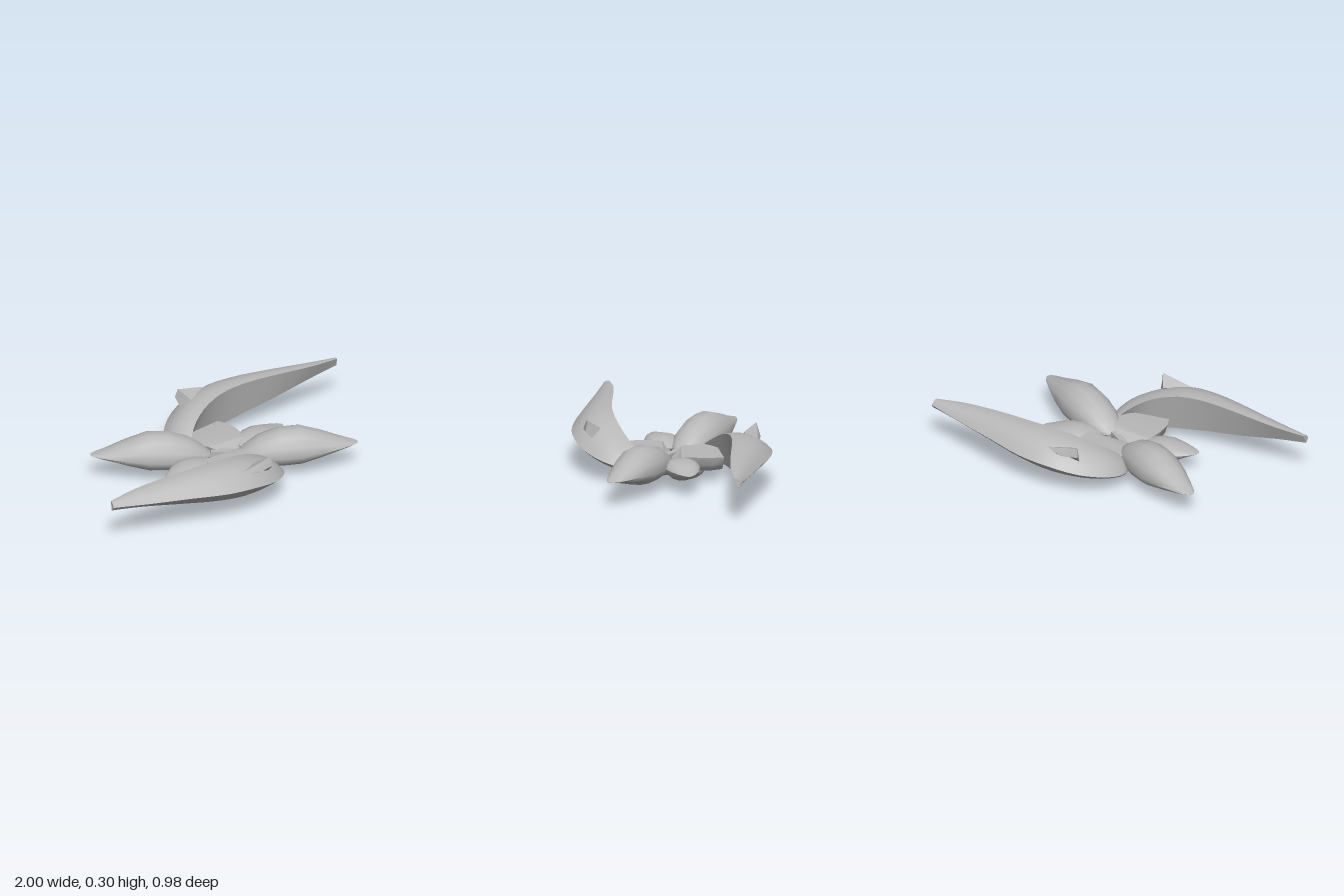
import * as THREE from 'three';
import { toCreasedNormals } from 'three/addons/utils/BufferGeometryUtils.js';

const grey = new THREE.MeshStandardMaterial({ color: 0xb8b8b8 });
grey.name = 'plain grey';
const V = (x, y, z) => new THREE.Vector3(x, y, z);

function mesh(name, geometry) {
  const m = new THREE.Mesh(geometry, grey);
  m.name = name;
  return m;
}

// Skin a closed surface over rings of equal point count
function loft(rings, crease = 0.6) {
  const n = rings[0].length, pos = [];
  const tri = (...pts) => pts.forEach(p => pos.push(p.x, p.y, p.z));
  for (let i = 0; i < rings.length - 1; i++) {
    for (let j = 0; j < n; j++) {
      const k = (j + 1) % n, a = rings[i], b = rings[i + 1];
      tri(a[j], a[k], b[j]);
      tri(a[k], b[k], b[j]);
    }
  }
  for (const end of [0, rings.length - 1]) {
    const r = rings[end];
    const c = r.reduce((s, p) => s.add(p), V(0, 0, 0)).divideScalar(n);
    for (let j = 0; j < n; j++) {
      const k = (j + 1) % n;
      if (end === 0) tri(c, r[k], r[j]); else tri(c, r[j], r[k]);
    }
  }
  const g = new THREE.BufferGeometry();
  g.setAttribute('position', new THREE.Float32BufferAttribute(pos, 3));
  return toCreasedNormals(g, crease);
}

// Long curved blade: each station gives its inner edge, outer edge and keel
function arm() {
  const stations = [
    [V(-0.985, 0.258, 0.125), V(-1.0, 0.235, 0.16), V(-0.995, 0.21, 0.14)],
    [V(-0.82, 0.273, 0.14), V(-0.82, 0.222, 0.25), V(-0.82, 0.18, 0.175)],
    [V(-0.6, 0.288, 0.19), V(-0.6, 0.212, 0.36), V(-0.6, 0.13, 0.225)],
    [V(-0.4, 0.293, 0.24), V(-0.42, 0.2, 0.445), V(-0.4, 0.09, 0.275)],
    [V(-0.24, 0.282, 0.26), V(-0.25, 0.19, 0.488), V(-0.22, 0.06, 0.3)],
    [V(-0.1, 0.245, 0.25), V(-0.08, 0.155, 0.468), V(-0.06, 0.055, 0.285)],
    [V(0.0, 0.195, 0.22), V(0.06, 0.122, 0.39), V(0.04, 0.057, 0.26)],
    [V(0.07, 0.14, 0.18), V(0.12, 0.1, 0.3), V(0.1, 0.06, 0.22)],
    [V(0.1, 0.1, 0.16), V(0.12, 0.09, 0.21), V(0.11, 0.07, 0.18)],
  ];
  const edges = [0, 1, 2].map(e =>
    new THREE.CatmullRomCurve3(stations.map(s => s[e])).getPoints(24));
  const rings = edges[0].map((inner, i) => {
    const outer = edges[1][i], keel = edges[2][i];
    const top = inner.clone().lerp(outer, 0.6);
    top.y = inner.y + (inner.y - outer.y) * 0.25;
    const low = outer.clone().lerp(keel, 0.4);
    low.y = keel.y + (outer.y - keel.y) * 0.25;
    return [
      ...new THREE.QuadraticBezierCurve3(inner, top, outer).getPoints(6),
      ...new THREE.QuadraticBezierCurve3(outer, low, keel).getPoints(5).slice(1),
    ];
  });
  return loft(rings);
}

// Pointed lens along +x with a sharp rim that climbs from rim0 to rim1
function petal(length, width, up, down, rim0, rim1) {
  const profile = [[0, 0.3], [0.06, 0.6], [0.18, 0.87], [0.35, 1], [0.52, 1],
    [0.7, 0.8], [0.85, 0.54], [0.95, 0.32], [1, 0.12]];
  return loft(profile.map(([t, s]) => {
    const ring = [], rim = rim0 + (rim1 - rim0) * t;
    for (let j = 0; j < 14; j++) {
      const a = Math.PI - j / 14 * Math.PI * 2;
      const y = Math.sin(a);
      ring.push(V(t * length, rim + (y > 0 ? up : down) * y * s * s, Math.cos(a) * width * s));
    }
    return ring;
  }), 0.7);
}

// Curved block joining the middle to an arm, narrower below and sloping down at the centre
function connector() {
  const rows = [ // right x, right z, left x, left z, top y
    [0.0, -0.01, -0.14, -0.01, 0.115],
    [0.05, 0.06, -0.165, 0.015, 0.15],
    [0.08, 0.13, -0.195, 0.09, 0.152],
    [0.08, 0.2, -0.21, 0.17, 0.15],
    [0.03, 0.25, -0.195, 0.24, 0.145],
  ];
  return loft(rows.map(([rx, rz, lx, lz, y]) => [
    V(rx, y, rz), V(lx, y, lz), V(lx + 0.015, 0.1, lz), V(lx + 0.045, 0.068, lz), V(rx - 0.03, 0.068, rz),
  ]), 0.5);
}

// Small swept fin on the outer shoulder of an arm
function fin() {
  return loft([
    [V(-0.3, 0.25, 0.395), V(-0.298, 0.254, 0.4), V(-0.298, 0.248, 0.405), V(-0.3, 0.24, 0.4)],
    [V(-0.18, 0.255, 0.375), V(-0.18, 0.28, 0.425), V(-0.17, 0.24, 0.445), V(-0.17, 0.22, 0.41)],
    [V(-0.12, 0.255, 0.363), V(-0.095, 0.3, 0.438), V(-0.088, 0.25, 0.452), V(-0.09, 0.2, 0.41)],
  ], 0.4);
}

export function createModel() {
  const model = new THREE.Group();
  model.name = 'blossom';

  // Two identical halves, half a turn apart
  for (const side of [0, 1]) {
    const half = new THREE.Group();
    half.name = side ? 'backHalf' : 'frontHalf';
    half.rotation.y = side * Math.PI;

    half.add(mesh('arm', arm()), mesh('armFin', fin()), mesh('connector', connector()));

    const large = mesh('largePetal', petal(0.64, 0.118, 0.126, 0.075, 0.115, 0.148));
    large.position.set(0.05, 0, 0.055);
    large.rotation.y = -Math.atan2(0.4, 0.5);
    half.add(large);

    const small = mesh('smallPetal', petal(0.33, 0.092, 0.04, 0.067, 0.122, 0.122));
    small.position.x = 0.11;
    half.add(small);

    // Rounded lobe underneath
    const lobe = mesh('lowerLobe', new THREE.SphereGeometry(1, 20, 8, 0, Math.PI * 2, Math.PI / 2, Math.PI / 2));
    lobe.scale.set(0.118, 0.068, 0.108);
    lobe.position.set(0.052, 0.068, -0.052);
    lobe.rotation.y = Math.PI / 4;
    const lid = mesh('lobeTop', new THREE.CircleGeometry(1, 20).rotateX(-Math.PI / 2));
    lobe.add(lid);
    half.add(lobe);

    model.add(half);
  }

  // Narrow ridge in the middle
  const ridge = mesh('centreRidge', new THREE.BoxGeometry(0.14, 0.06, 0.035));
  ridge.position.y = 0.105;
  ridge.rotation.y = -Math.PI / 4;
  model.add(ridge);
  return model;
}
